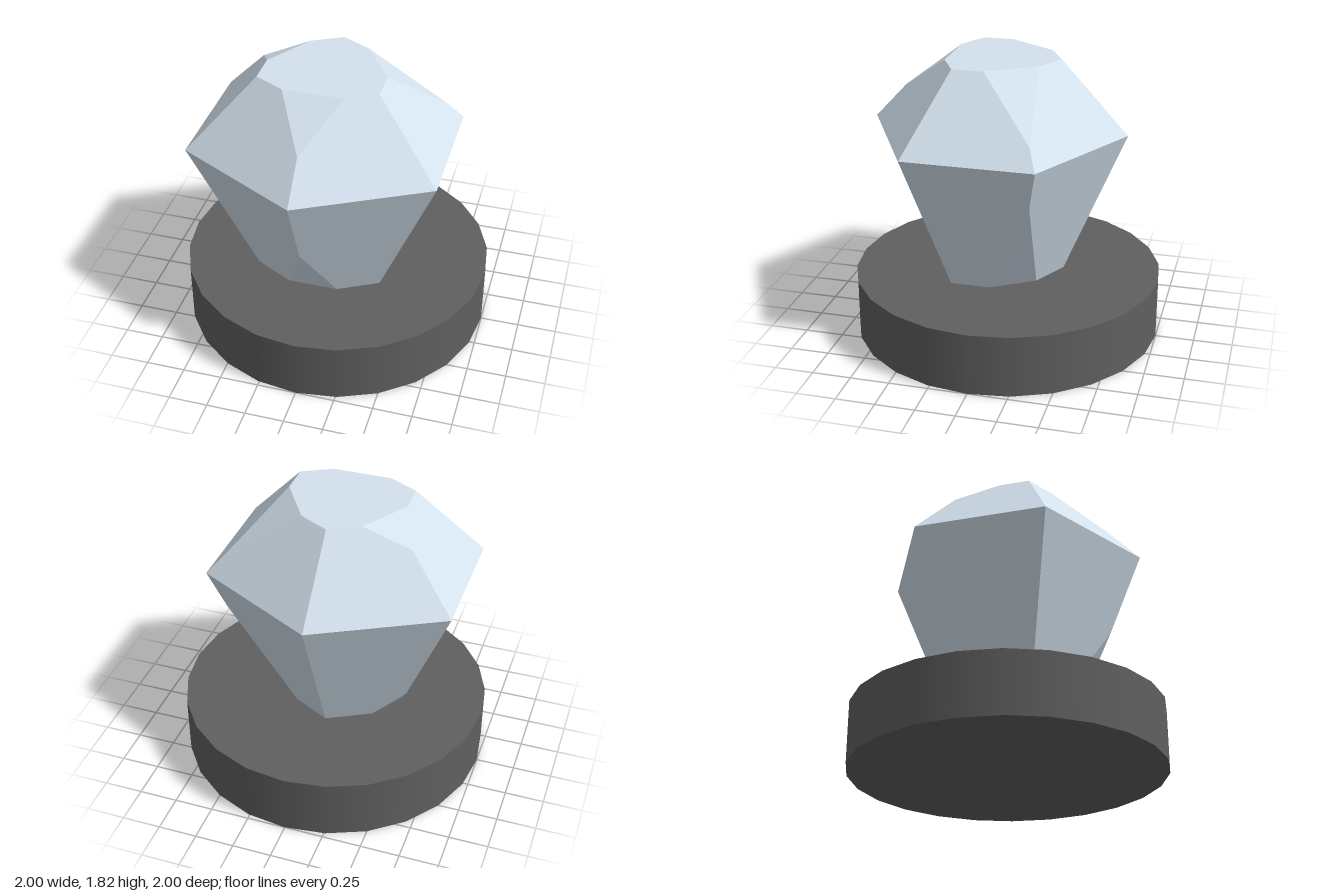
import * as THREE from 'three';
import { ConvexGeometry } from 'three/addons/geometries/ConvexGeometry.js';

const BELT_Y = 1.355;   // height of the widest ring
const CROWN = 0.465;    // height of the faceted crown above the belt
const TABLE = 0.482;    // size of the flat table relative to the belt
const STRETCH = 2.23;   // how much deeper the lower half is than the crown

// Point on a corner ridge of the six-sided gem: f = 1 at the belt, TABLE at the flat end.
// side = 1 is the crown, -STRETCH the lower half.
function ridgePoint(corner, f, side) {
  const a = corner * Math.PI / 3;
  const rise = CROWN * (1 - f) / (1 - TABLE);
  return new THREE.Vector3(
    -0.052 + 0.905 * Math.sin(a) * f,
    BELT_Y + side * rise,
    0.07 + 0.83 * Math.cos(a) * f
  );
}

// Alternate corners are cut by a triangular facet starting at this ridge position.
const cuts = { 0: 0.747, 2: 0.866, 4: 0.624 };

function gemGeometry() {
  const points = [];
  for (let i = 0; i < 6; i++) {
    points.push(ridgePoint(i, 1, 1));
    for (const side of [1, -STRETCH]) {
      const corner = ridgePoint(i, TABLE, side);
      if (i in cuts) {
        points.push(ridgePoint(i, cuts[i], side));
        for (const step of [-1, 1]) {
          points.push(corner.clone().lerp(ridgePoint(i + step, TABLE, side), 0.5));
        }
      } else {
        points.push(corner);
      }
    }
  }
  return new ConvexGeometry(points);
}

export function createModel() {
  const model = new THREE.Group();
  model.name = 'gemOnStand';

  // Round stand
  const base = new THREE.Mesh(
    new THREE.CylinderGeometry(1, 1, 0.4, 24),
    new THREE.MeshStandardMaterial({ color: 0x606060 })
  );
  base.name = 'base';
  base.position.y = 0.2;
  model.add(base);

  // Faceted gem, its lower end sunk into the stand
  const gem = new THREE.Mesh(
    gemGeometry(),
    new THREE.MeshStandardMaterial({ color: 0xd4e2ee, flatShading: true })
  );
  gem.name = 'gem';
  model.add(gem);

  return model;
}
